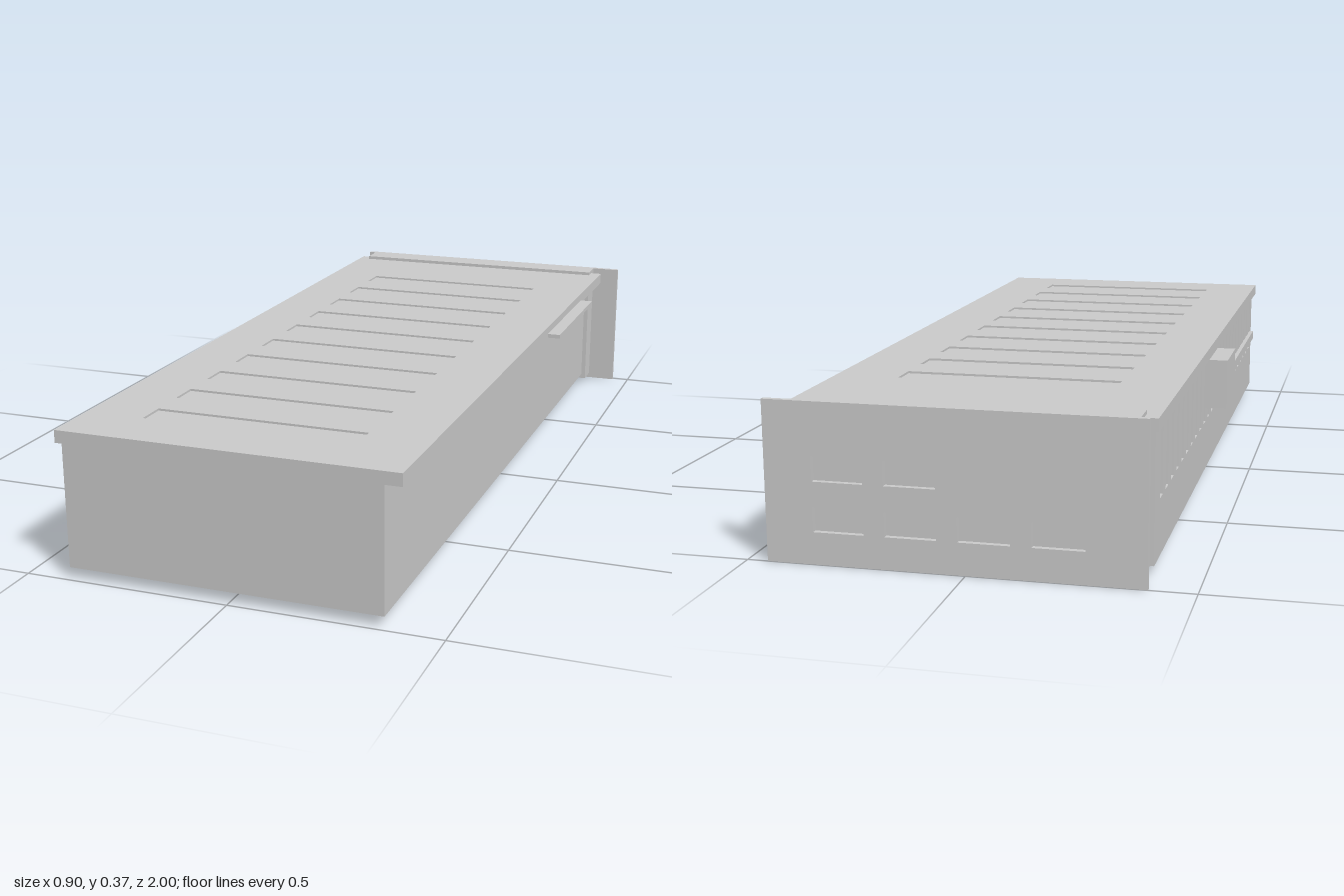
import * as THREE from 'three';
import { toCreasedNormals } from 'three/addons/utils/BufferGeometryUtils.js';

const grey = new THREE.MeshStandardMaterial({ color: 0xcccccc });
grey.name = 'plain grey';

function rectPath(PathClass, u0, u1, v0, v1) {
  const p = new PathClass();
  p.moveTo(u0, v0);
  p.lineTo(u1, v0);
  p.lineTo(u1, v1);
  p.lineTo(u0, v1);
  p.closePath();
  return p;
}

// Flat plate with cut-outs, extruded along +z
function platePiece(rect, holes, depth) {
  const shape = rectPath(THREE.Shape, ...rect);
  shape.holes.push(...holes);
  const geo = new THREE.ExtrudeGeometry(shape, { depth, bevelEnabled: false, curveSegments: 48 });
  return toCreasedNormals(geo, 0.5);
}

const slot = (u, v, w, h) => rectPath(THREE.Path, u - w / 2, u + w / 2, v - h / 2, v + h / 2);

export function createModel() {
  const group = new THREE.Group();

  const add = (name, geo) => {
    const mesh = new THREE.Mesh(geo, grey);
    mesh.name = name;
    group.add(mesh);
    return mesh;
  };
  const box = (name, x0, x1, y0, y1, z0, z1) => {
    const mesh = add(name, new THREE.BoxGeometry(x1 - x0, y1 - y0, z1 - z0));
    mesh.position.set((x0 + x1) / 2, (y0 + y1) / 2, (z0 + z1) / 2);
    return mesh;
  };

  // Shroud underside with three fan wells (shape axes: x, -z)
  const wells = [];
  for (let i = -1; i <= 1; i++) {
    const hole = new THREE.Path();
    hole.absarc(-0.015, -(0.046 + i * 0.63), 0.292, 0, Math.PI * 2, true);
    wells.push(hole);
  }
  const fanShroud = platePiece([-0.365, 0.362, -0.99, 0.924], wells, 0.155);
  fanShroud.rotateX(-Math.PI / 2);
  add('fanShroud', fanShroud).position.y = 0.027;

  // Solid core above the fan wells
  box('shroudCore', -0.365, 0.362, 0.182, 0.327, -0.924, 0.99);

  // Vented side wall (shape axes: -z, y)
  const vents = [];
  for (let i = 0; i < 24; i++) vents.push(slot(0.84 - i * 0.0768, 0.24, 0.038, 0.165));
  const ventWall = platePiece([-0.99, 0.924, 0.027, 0.327], vents, 0.03);
  ventWall.rotateY(Math.PI / 2);
  add('ventedSide', ventWall).position.x = -0.395;

  // Side rail and power socket
  box('sideRail', -0.406, -0.394, 0.185, 0.21, -0.1, 0.96);
  box('powerSocket', -0.452, -0.394, 0.198, 0.325, -0.15, 0.02);

  // Top plate with shallow cross slots (shape axes: x, -z)
  box('topPlateBase', -0.406, 0.405, 0.327, 0.352, -0.955, 1);
  const grooves = [];
  for (let i = 0; i < 10; i++) grooves.push(slot(-0.005, 0.645 - i * 0.163, 0.515, 0.075));
  const topPlate = platePiece([-0.406, 0.405, -1, 0.955], grooves, 0.005);
  topPlate.rotateX(-Math.PI / 2);
  add('topPlate', topPlate).position.y = 0.352;

  // Edge connector tab
  box('edgeTab', 0.35, 0.439, 0.3265, 0.337, -0.66, -0.24);

  // End block and mounting bracket with port openings
  box('endBlock', -0.375, 0.374, 0.014, 0.366, -0.987, -0.922);
  const ports = [];
  for (let i = 0; i < 4; i++) {
    const x = 0.285 - i * 0.163;
    ports.push(slot(x, 0.102, 0.116, 0.056));
    if (i < 2) ports.push(slot(x, 0.216, 0.116, 0.056));
  }
  add('bracket', platePiece([-0.395, 0.452, 0, 0.366], ports, 0.013)).position.z = -1;

  return group;
}
